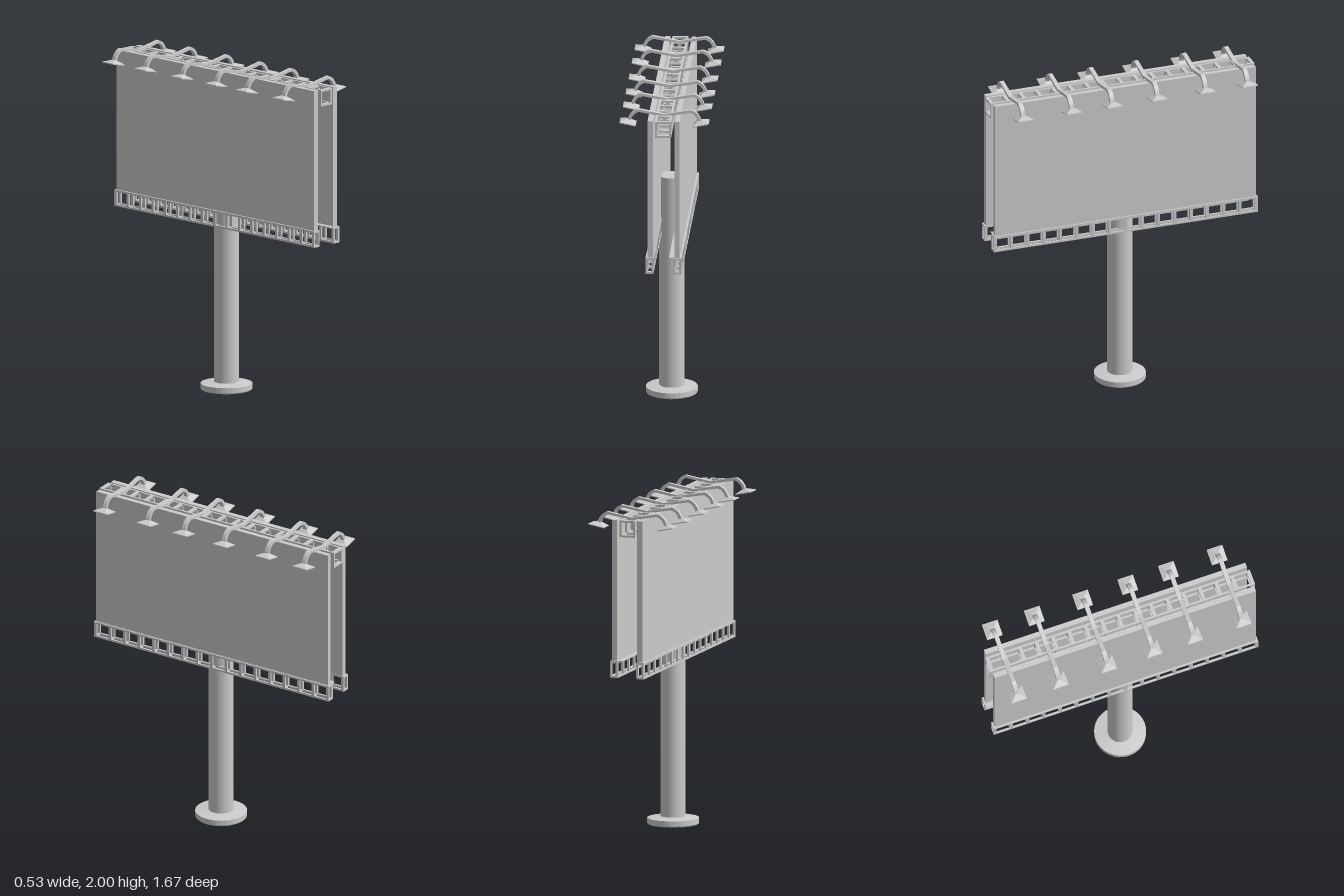
import * as THREE from 'three';

const mat = new THREE.MeshStandardMaterial({ color: 0xcccccc, side: THREE.DoubleSide });
const flat = new THREE.MeshStandardMaterial({ color: 0xcccccc, flatShading: true, side: THREE.DoubleSide });

function add(parent, name, geometry, material = mat) {
  const mesh = new THREE.Mesh(geometry, material);
  mesh.name = name;
  parent.add(mesh);
  return mesh;
}

// Box given by its limits on each axis
function block(parent, name, x0, x1, y0, y1, z0, z1) {
  const mesh = add(parent, name, new THREE.BoxGeometry(x1 - x0, y1 - y0, z1 - z0));
  mesh.position.set((x0 + x1) / 2, (y0 + y1) / 2, (z0 + z1) / 2);
  return mesh;
}

// Open box truss running along z: four rails and a square hoop at every station
function truss(parent, name, x0, x1, y0, y1, hoop) {
  const g = new THREE.Group();
  g.name = name;
  parent.add(g);
  const L = 0.835, t = 0.012, bays = 16;
  for (const x of [x0, x1 - t])
    for (const y of [y0, y1 - t]) block(g, 'rail', x, x + t, y, y + t, -L, L);
  for (let i = 0; i <= bays; i++) {
    const z = -L + hoop / 2 + (i / bays) * (2 * L - hoop);
    const a = z - hoop / 2, b = z + hoop / 2;
    for (const x of [x0, x1 - t]) block(g, 'post', x, x + t, y0 + t, y1 - t, a, b);
    for (const y of [y0, y1 - t]) block(g, 'rung', x0 + t, x1 - t, y, y + t, a, b);
  }
}

// Curved lamp arm drawn from the side and extruded across its width
function armGeometry() {
  const w = 0.026;
  const s = new THREE.Shape();
  s.moveTo(0, 1.955);
  s.lineTo(0.152, 1.983);
  s.quadraticCurveTo(0.19, 1.972, 0.2, 1.93);
  s.lineTo(0.22, 1.93);
  s.quadraticCurveTo(0.205, 1.985, 0.16, 2.0);
  s.lineTo(0, 1.971);
  s.closePath();
  const geo = new THREE.ExtrudeGeometry(s, { depth: w, bevelEnabled: false, curveSegments: 6 });
  return geo.translate(0, 0, -w / 2);
}

export function createModel() {
  const model = new THREE.Group();
  model.name = 'billboard';

  // Round foot and pole
  const foot = [[0, 0], [0.05, 0.004], [0.15, 0.012], [0.155, 0.018], [0.155, 0.05], [0.075, 0.06], [0, 0.06]];
  add(model, 'foot', new THREE.LatheGeometry(foot.map(p => new THREE.Vector2(...p)), 32), flat);
  add(model, 'pole', new THREE.CylinderGeometry(0.075, 0.075, 1.317, 32)).position.y = 0.7085;

  // Two display panels back to back
  block(model, 'rightPanel', -0.093, -0.06, 1.11, 1.966, -0.825, 0.825);
  block(model, 'leftPanel', 0.068, 0.098, 1.11, 1.966, -0.825, 0.825);

  // Trusses under the panels and between their top edges
  truss(model, 'rightLowerTruss', -0.104, -0.057, 1.015, 1.115, 0.018);
  truss(model, 'leftLowerTruss', 0.06, 0.109, 1.015, 1.115, 0.018);
  truss(model, 'upperTruss', -0.048, 0.048, 1.866, 1.966, 0.022);
  block(model, 'walkway', 0.035, 0.1, 1.112, 1.118, -0.83, 0.83);

  // Lamps: a short post with an arm and a pyramid-shaped head on each side
  const arm = armGeometry();
  const shade = new THREE.CylinderGeometry(0.012, 0.0693, 0.02, 4).rotateY(Math.PI / 4);
  const rim = new THREE.BoxGeometry(0.098, 0.006, 0.098);
  for (const z of [-0.73, -0.465, -0.16, 0.125, 0.382, 0.689]) {
    const lamp = new THREE.Group();
    lamp.name = 'lampPair';
    lamp.position.z = z;
    model.add(lamp);
    block(lamp, 'lampPost', -0.011, 0.011, 1.905, 1.966, -0.008, 0.008);
    for (const turn of [0, Math.PI]) {
      const side = new THREE.Group();
      side.name = 'lamp';
      side.rotation.y = turn;
      lamp.add(side);
      add(side, 'lampArm', arm);
      const head = new THREE.Group();
      head.name = 'lampHead';
      head.position.set(0.217, 1.915, 0);
      head.rotation.z = 0.2;
      side.add(head);
      add(head, 'lampRim', rim);
      add(head, 'lampShade', shade, flat).position.y = 0.012;
    }
  }
  return model;
}
